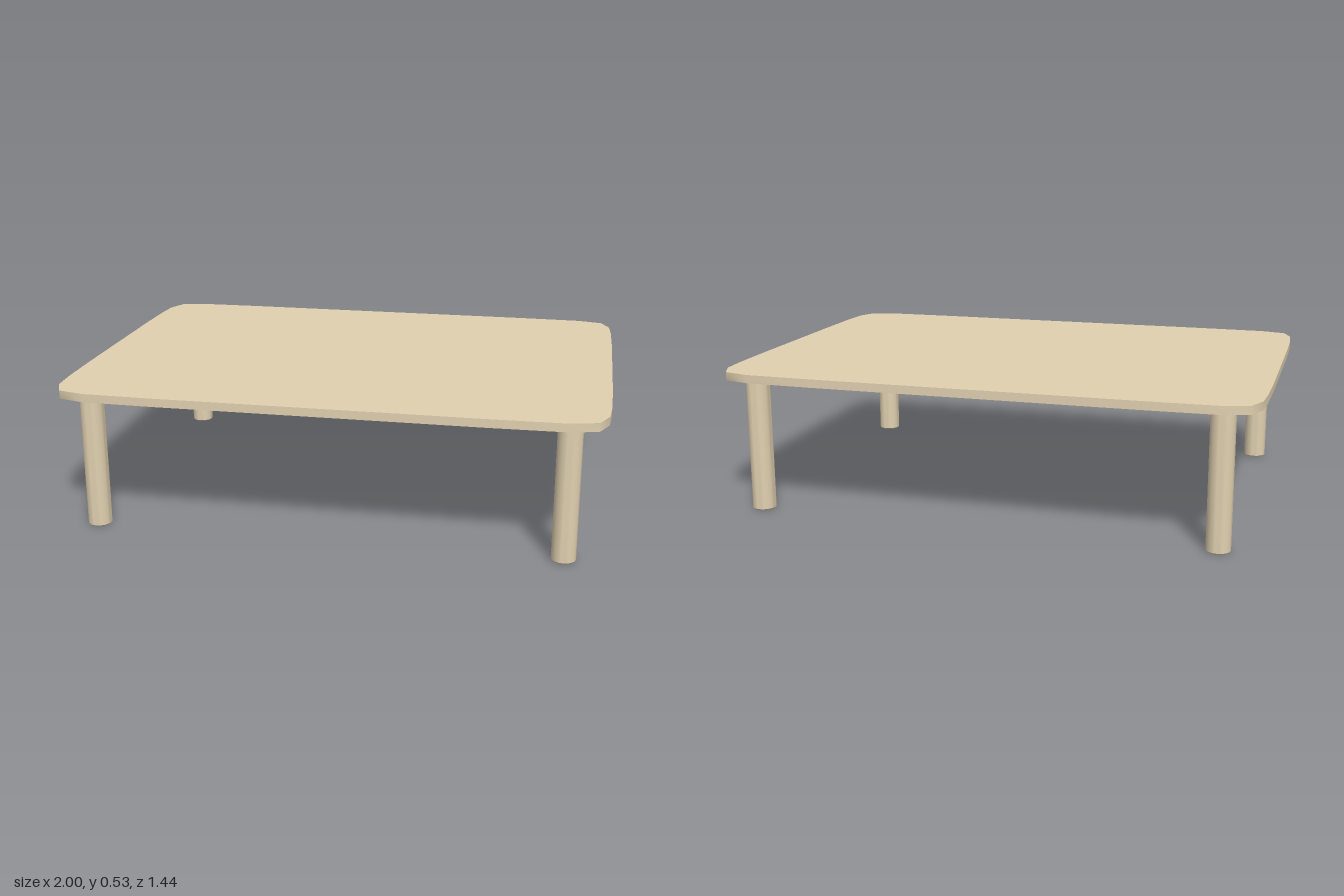
import * as THREE from 'three';
import { toCreasedNormals } from 'three/addons/utils/BufferGeometryUtils.js';

const TOP_Y = 0.533, UNDER_Y = 0.502;

export function createModel() {
  const table = new THREE.Group();
  table.name = 'lowTable';
  const wood = new THREE.MeshStandardMaterial({ color: 0xe0d0b0 });

  // Tabletop: one quarter of the softly bowed outline, mirrored to all four
  const quarter = [[1, 0.32], [0.997, 0.51], [0.99, 0.615], [0.957, 0.69], [0.86, 0.715], [0.6, 0.72]];
  const back = [...quarter].reverse();
  const outline = [
    ...quarter,
    ...back.map(([x, z]) => [-x, z]),
    ...quarter.map(([x, z]) => [-x, -z]),
    ...back.map(([x, z]) => [x, -z]),
  ].map(([x, z]) => new THREE.Vector2(x, z));
  const slab = new THREE.ExtrudeGeometry(new THREE.Shape(outline), {
    depth: TOP_Y - UNDER_Y, bevelEnabled: false,
  });
  slab.rotateX(-Math.PI / 2);
  const tabletop = new THREE.Mesh(toCreasedNormals(slab, 1.0), wood);
  tabletop.name = 'tabletop';
  tabletop.position.y = UNDER_Y;
  table.add(tabletop);

  // Legs: round posts with slightly eased ends
  const r = 0.044, ease = 0.004;
  const profile = [
    [0, 0], [r - ease, 0], [r, ease], [r, UNDER_Y - ease], [r - ease, UNDER_Y], [0, UNDER_Y],
  ].map(([x, y]) => new THREE.Vector2(x, y));
  const post = toCreasedNormals(new THREE.LatheGeometry(profile, 32), 0.6);
  for (const [sx, side] of [[1, 'Left'], [-1, 'Right']]) {
    for (const [sz, end] of [[1, 'front'], [-1, 'back']]) {
      const leg = new THREE.Mesh(post, wood);
      leg.name = `${end}${side}Leg`;
      leg.position.set(sx * 0.862, 0, sz * 0.626);
      table.add(leg);
    }
  }
  return table;
}
